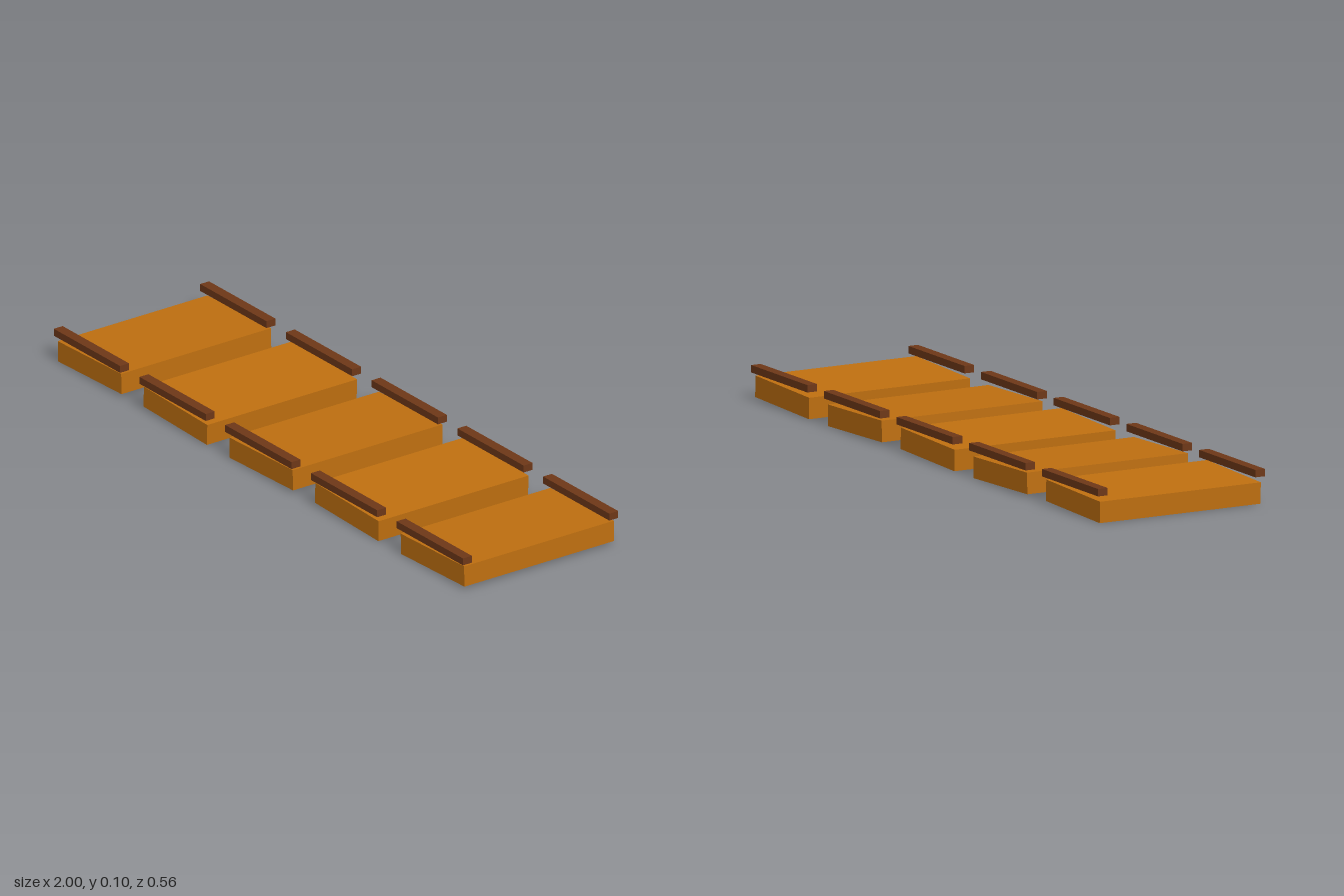
import * as THREE from 'three';

export function createModel() {
  const group = new THREE.Group();
  group.name = 'plankBridge';
  const wood = new THREE.MeshStandardMaterial({ color: 0xc07010, flatShading: true });
  const darkWood = new THREE.MeshStandardMaterial({ color: 0x6f3818, flatShading: true });

  const plankGeometry = new THREE.BoxGeometry(0.31, 0.064, 0.54);
  const railGeometry = new THREE.BoxGeometry(0.324, 0.022, 0.032);

  for (let i = 0; i < 5; i++) {
    const section = new THREE.Group();
    section.name = `section${i + 1}`;
    section.position.x = (i - 2) * 0.419;

    // Plank, tilted alternately to either side
    const plank = new THREE.Mesh(plankGeometry, wood);
    plank.name = 'plank';
    plank.position.y = 0.0366;
    plank.rotation.z = i % 2 ? -0.029 : 0.029;
    section.add(plank);

    // Level rails floating above the front and back edges
    for (const side of [1, -1]) {
      const rail = new THREE.Mesh(railGeometry, darkWood);
      rail.name = side > 0 ? 'frontRail' : 'backRail';
      rail.position.set(0, 0.093, side * 0.264);
      section.add(rail);
    }
    group.add(section);
  }
  return group;
}
